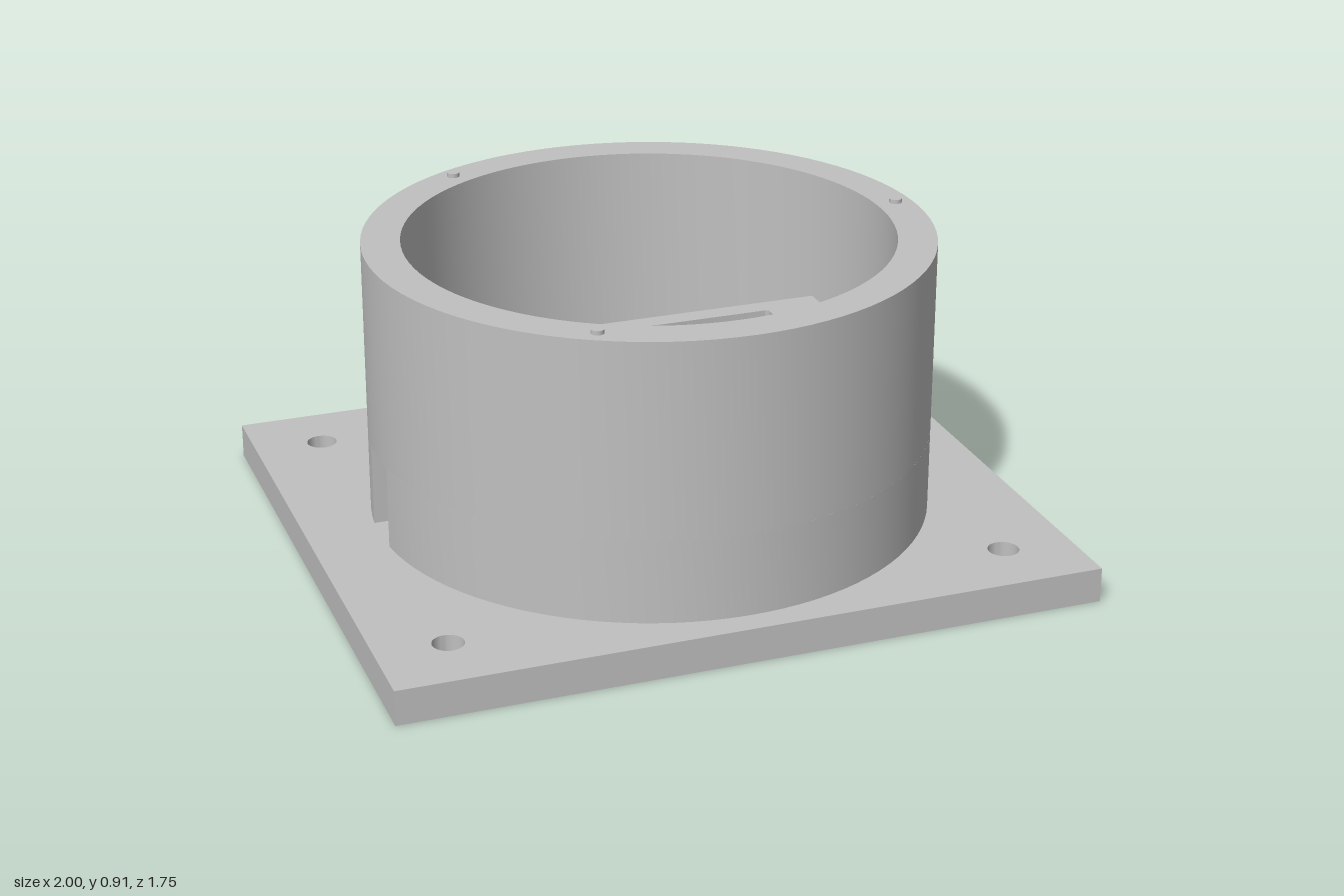
import * as THREE from 'three';
import { toCreasedNormals } from 'three/addons/utils/BufferGeometryUtils.js';

const grey = new THREE.MeshStandardMaterial({ color: 0xc0c0c0 });
grey.name = 'plainGrey';

const PLATE_TOP = 0.1, RING_TOP = 0.9, NOTCH_TOP = 0.34;
const OUTER = 0.8, INNER = 0.69, NOTCH_HALF = 0.08;
const BLOCK_FLOOR = 0.45, BLOCK_TOP = 0.55;

function rectangle(x0, x1, z0, z1, path = new THREE.Shape()) {
  path.moveTo(x0, -z1).lineTo(x1, -z1).lineTo(x1, -z0).lineTo(x0, -z0).closePath();
  return path;
}

function roundHole(x, z, r) {
  return new THREE.Path().absarc(x, -z, r, 0, Math.PI * 2, true);
}

// Extrudes a ground-plan shape upward from y0 to y1
function slab(name, shape, y0, y1, segments = 16) {
  let geometry = new THREE.ExtrudeGeometry(shape, {
    depth: y1 - y0, bevelEnabled: false, curveSegments: segments,
  });
  geometry.rotateX(-Math.PI / 2);
  geometry.translate(0, y0, 0);
  geometry = toCreasedNormals(geometry, Math.PI / 6);
  const mesh = new THREE.Mesh(geometry, grey);
  mesh.name = name;
  return mesh;
}

export function createModel() {
  const model = new THREE.Group();
  model.name = 'roundHousing';

  // Base plate with four through holes
  const plate = rectangle(-1, 1, -0.875, 0.875);
  for (const x of [-0.8, 0.8])
    for (const z of [-0.675, 0.675]) plate.holes.push(roundHole(x, z, 0.044));
  model.add(slab('basePlate', plate, 0, PLATE_TOP));

  // Lower wall, open at the -x side for the cable notch
  const a = Math.PI - Math.asin(NOTCH_HALF / OUTER);
  const b = Math.PI - Math.asin(NOTCH_HALF / INNER);
  const lower = new THREE.Shape();
  lower.absarc(0, 0, OUTER, -a, a, false);
  lower.absarc(0, 0, INNER, b, -b, true);
  lower.closePath();
  model.add(slab('lowerWall', lower, PLATE_TOP, NOTCH_TOP, 48));

  // Upper wall, a full ring
  const upper = new THREE.Shape().absarc(0, 0, OUTER, 0, Math.PI * 2, false);
  upper.holes.push(roundHole(0, 0, INNER));
  model.add(slab('upperWall', upper, NOTCH_TOP, RING_TOP, 48));

  // Three locating pegs on the rim
  for (let i = 0; i < 3; i++) {
    const angle = (i * Math.PI * 2) / 3;
    const peg = new THREE.Mesh(new THREE.CylinderGeometry(0.018, 0.018, 0.03, 24), grey);
    peg.position.set(0.75 * Math.cos(angle), RING_TOP - 0.003, 0.75 * Math.sin(angle));
    peg.name = 'rimPeg';
    model.add(peg);
  }

  // Mounting block with a pocket and two screw holes
  const block = [-0.325, 0.595, -0.225, 0.22];
  model.add(slab('mountBase', rectangle(...block), PLATE_TOP, BLOCK_FLOOR));
  const top = rectangle(...block);
  const [x0, x1, r, h] = [-0.16, 0.43, 0.01, 0.163];
  const pocket = new THREE.Path();
  pocket.absarc(x1 - r, h - r, r, 0, Math.PI / 2, false);
  pocket.absarc(x0 + r, h - r, r, Math.PI / 2, Math.PI, false);
  pocket.absarc(x0 + r, r - h, r, Math.PI, Math.PI * 1.5, false);
  pocket.absarc(x1 - r, r - h, r, Math.PI * 1.5, Math.PI * 2, false);
  pocket.closePath();
  top.holes.push(pocket, roundHole(-0.205, 0, 0.026), roundHole(0.475, 0, 0.026));
  model.add(slab('mountTop', top, BLOCK_FLOOR, BLOCK_TOP));

  return model;
}
